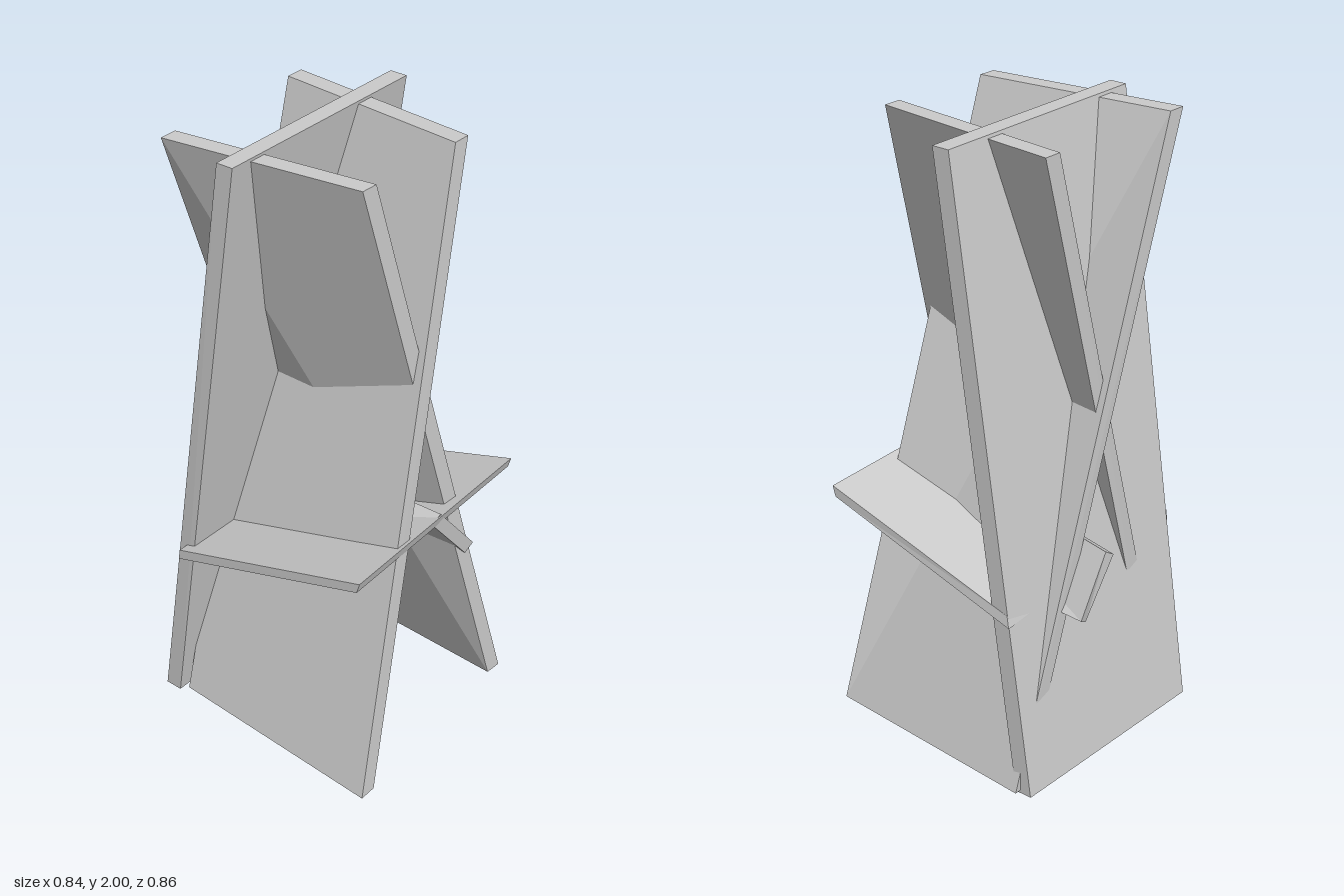
import * as THREE from 'three';

// Board from two matching end rings of four corners, each counter-clockwise
// when seen from the 'end' side. Flat-shaded, so it may be slightly twisted.
function board(name, start, end, material) {
  const pos = [];
  const tri = (a, b, c) => pos.push(...a, ...b, ...c);
  for (let i = 0; i < 4; i++) {
    const j = (i + 1) % 4;
    const [a, b, c, d] = [start[i], start[j], end[j], end[i]];
    if (i === 3) { tri(a, b, d); tri(b, c, d); } // mirrored fold on the opposite face
    else { tri(a, b, c); tri(a, c, d); }
  }
  tri(end[0], end[1], end[2]); tri(end[0], end[2], end[3]);
  tri(start[0], start[2], start[1]); tri(start[0], start[3], start[2]);
  const geometry = new THREE.BufferGeometry();
  geometry.setAttribute('position', new THREE.Float32BufferAttribute(pos, 3));
  geometry.computeVertexNormals();
  const mesh = new THREE.Mesh(geometry, material);
  mesh.name = name;
  return mesh;
}

// Ring at one height from [x, z] pairs: front left, front right, back right, back left
const level = (y, pts) => pts.map(([x, z]) => [x, y, z]);

export function createModel() {
  const group = new THREE.Group();
  group.name = 'chair';
  const material = new THREE.MeshStandardMaterial({ color: 0xcccccc, flatShading: true });

  // Two tall side boards crossing each other
  group.add(board('crossBoardRising',
    level(0.01, [[-0.418, 0.425], [-0.36, 0.427], [-0.288, -0.33], [-0.345, -0.33]]),
    level(1.99, [[0.14, 0.315], [0.197, 0.318], [0.258, -0.31], [0.2, -0.313]]), material));
  group.add(board('crossBoardFalling',
    level(0.01, [[0.305, 0.41], [0.36, 0.416], [0.417, -0.335], [0.36, -0.335]]),
    level(1.99, [[-0.243, 0.28], [-0.188, 0.285], [-0.266, -0.347], [-0.323, -0.35]]), material));

  // Back board, leaning forward at the top
  group.add(board('backBoard',
    level(0, [[-0.36, -0.355], [0.395, -0.318], [0.395, -0.375], [-0.357, -0.413]]),
    level(2, [[-0.362, -0.065], [0.393, -0.028], [0.393, -0.085], [-0.362, -0.12]]), material));

  // Seat, sloping down to the back
  group.add(board('seat',
    [[-0.4, 0.79, 0.385], [0.4, 0.78, 0.385], [0.4, 0.575, -0.295], [-0.395, 0.59, -0.3]],
    [[-0.4, 0.825, 0.395], [0.4, 0.815, 0.395], [0.395, 0.612, -0.285], [-0.395, 0.625, -0.295]],
    material));

  // Slanted brace under the seat, passing through the back board
  group.add(board('seatBrace',
    [[0.172, 0.53, -0.405], [0.205, 0.55, -0.413], [0.105, 0.748, -0.425], [0.073, 0.728, -0.43]],
    [[0.18, 0.572, 0.38], [0.215, 0.595, 0.385], [0.018, 0.825, 0.39], [-0.018, 0.802, 0.385]],
    material));

  return group;
}
